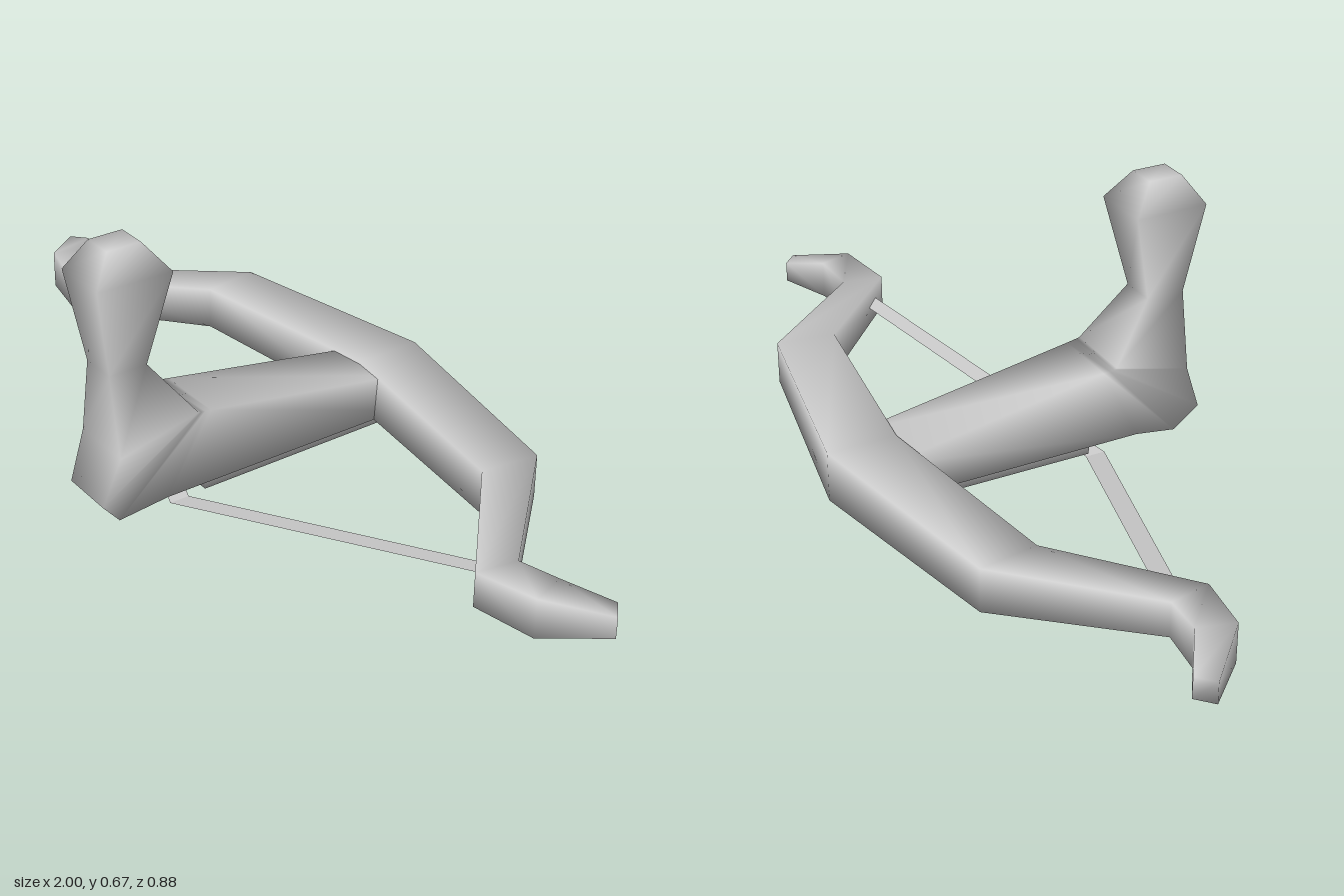
import * as THREE from 'three';

// Skin a list of four-cornered rings, close both ends, smooth the normals
function loft(rings) {
  const index = [], n = rings.length;
  for (let i = 0; i < n - 1; i++) {
    for (let k = 0; k < 4; k++) {
      const a = i * 4 + k, b = i * 4 + (k + 1) % 4;
      index.push(a, b, b + 4, a, b + 4, a + 4);
    }
  }
  const e = (n - 1) * 4;
  index.push(0, 2, 1, 0, 3, 2, e, e + 1, e + 2, e, e + 2, e + 3);
  const g = new THREE.BufferGeometry();
  g.setAttribute('position', new THREE.Float32BufferAttribute(rings.flat(2), 3));
  g.setIndex(index);
  g.computeVertexNormals();
  return g;
}

// Ring symmetric in x, from outer edge (z, y, half width) to inner edge
const stockRing = ([az, ay, aw, bz, by, bw]) =>
  [[aw, ay, az], [-aw, ay, az], [-bw, by, bz], [bw, by, bz]];

// Ring across the bow limb: back edge, front edge, bottom and top
const limbRing = ([bx, bz, fx, fz, y0, y1]) =>
  [[bx, y0, bz], [bx, y1, bz], [fx, y1, fz], [fx, y0, fz]];

export function createModel() {
  const group = new THREE.Group();
  const grey = new THREE.MeshStandardMaterial({ color: 0xcccccc, side: THREE.DoubleSide });
  grey.name = 'plain grey';
  const add = (name, geometry) => {
    const mesh = new THREE.Mesh(geometry, grey);
    mesh.name = name;
    group.add(mesh);
  };

  // Upright grip with a knob, turning into the tapering stock
  add('gripAndStock', loft([
    [0.39, 0.665, 0.035, 0.31, 0.665, 0.035],
    [0.435, 0.60, 0.067, 0.26, 0.60, 0.073],
    [0.40, 0.39, 0.043, 0.31, 0.39, 0.043],
    [0.40, 0.21, 0.075, 0.212, 0.262, 0.083],
    [0.44, 0.10, 0.065, 0.205, 0.26, 0.083],
    [0.39, 0.04, 0.045, 0.195, 0.258, 0.083],
    [0.28, 0.068, 0.065, 0.18, 0.256, 0.082],
    [-0.34, 0.07, 0.07, -0.34, 0.168, 0.08],
  ].map(stockRing)));

  // Narrow rail under the stock
  add('lowerRail', loft([
    [0.17, 0.034, 0.04, 0.17, 0.10, 0.05],
    [-0.385, 0.036, 0.04, -0.385, 0.10, 0.05],
  ].map(stockRing)));

  // Bow limbs, mirrored about the centre ring
  const half = [
    [0.52, -0.345, 0.50, -0.21, 0.077, 0.178],
    [0.77, -0.07, 0.752, 0.025, 0.086, 0.166],
    [0.87, -0.083, 0.895, -0.003, 0.086, 0.177],
    [0.965, -0.145, 1.0, -0.112, 0.103, 0.152],
  ];
  const mirrored = half.map(([bx, bz, fx, ...r]) => [-bx, bz, -fx, ...r]).reverse();
  add('bowLimbs', loft([...mirrored, [0, -0.44, 0, -0.28, 0.068, 0.184], ...half].map(limbRing)));

  // Flat string halves, drawn down to the middle
  for (const s of [1, -1]) {
    const g = new THREE.BufferGeometry();
    g.setAttribute('position', new THREE.Float32BufferAttribute(
      [0, 0, 0.187, 0, 0, 0.235, s * 0.76, 0.141, -0.025, s * 0.76, 0.141, -0.068], 3));
    g.setIndex(s > 0 ? [0, 1, 2, 0, 2, 3] : [0, 2, 1, 0, 3, 2]);
    g.computeVertexNormals();
    add(s > 0 ? 'leftString' : 'rightString', g);
  }
  return group;
}
